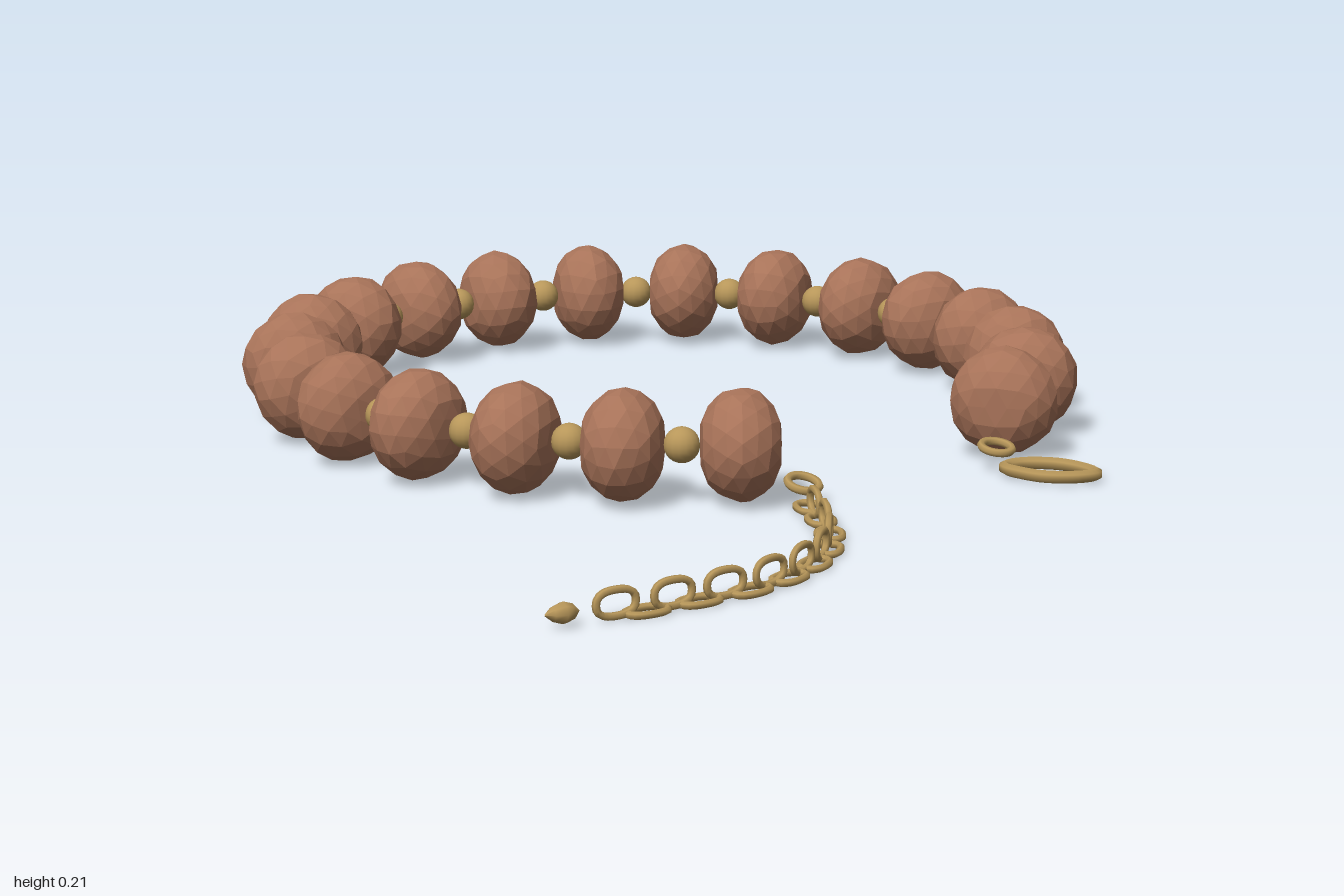
import * as THREE from 'three';

const bead = new THREE.MeshStandardMaterial({ color: 0xa87359 });
bead.name = 'brown bead';
bead.flatShading = true;
const gold = new THREE.MeshStandardMaterial({ color: 0xb8975a });
gold.name = 'gold metal';

// Bead centres around the strand (x, z)
const BEADS = [
  [.473, -.433], [.35, -.593], [.19, -.71], [.003, -.785], [-.195, -.812],
  [-.392, -.797], [-.58, -.72], [-.74, -.6], [-.847, -.428], [-.9, -.235],
  [-.894, -.037], [-.83, .155], [-.718, .32], [-.563, .45], [-.382, .53],
  [-.184, .56], [.013, .535], [.205, .455], [.36, .337], [.478, .171]];
// Centres of the flat chain links (x, z)
const LINKS = [
  [.595, .112], [.675, .15], [.76, .198], [.835, .262], [.895, .337],
  [.938, .422], [.963, .518], [.965, .62], [.964, .72], [.957, .83]];
// Outline of the clasp hook (x, z)
const HOOK = [
  [.582, -.345], [.583, -.385], [.62, -.43], [.67, -.445], [.722, -.437],
  [.722, -.4], [.685, -.35], [.635, -.333], [.6, -.332]];

// Faceted bead: squashed sphere with slightly uneven facets, axis along x
function beadGeometry() {
  const g = new THREE.IcosahedronGeometry(1, 2);
  const p = g.attributes.position;
  const v = new THREE.Vector3();
  for (let i = 0; i < p.count; i++) {
    v.fromBufferAttribute(p, i);
    const wobble = 1 + 0.02 * Math.sin(v.x * 9 + v.y * 13 + v.z * 17);
    // flatten the drilled ends
    const x = Math.max(-0.9, Math.min(0.9, v.x)) / 0.9;
    p.setXYZ(i, x * 0.07, v.y * 0.1 * wobble, v.z * 0.1 * wobble);
  }
  g.computeVertexNormals();
  return g;
}

// Closed tube through a loop of points
function loop(points, radius, segments = 32) {
  const curve = new THREE.CatmullRomCurve3(points, true);
  return new THREE.TubeGeometry(curve, segments, radius, 6, true);
}

// Rounded oblong link lying in the xz plane, long along x
function linkGeometry() {
  const pts = [];
  for (let i = 0; i < 16; i++) {
    const a = i / 16 * Math.PI * 2;
    const c = Math.cos(a), s = Math.sin(a);
    pts.push(new THREE.Vector3(
      Math.sign(c) * Math.abs(c) ** 0.8 * 0.036, 0, Math.sign(s) * Math.abs(s) ** 0.8 * 0.021));
  }
  return loop(pts, 0.0065, 24);
}

export function createModel() {
  const group = new THREE.Group();
  const add = (name, geometry, material, x, y, z, yaw = 0) => {
    const m = new THREE.Mesh(geometry, material);
    m.name = name;
    m.position.set(x, y, z);
    m.rotation.y = yaw;
    group.add(m);
    return m;
  };
  const heading = (a, b) => Math.atan2(a[1] - b[1], b[0] - a[0]);
  const mid = (a, b) => [(a[0] + b[0]) / 2, (a[1] + b[1]) / 2];

  // Strand of beads with a small gold spacer between each pair
  const beadGeo = beadGeometry();
  const spacerGeo = new THREE.SphereGeometry(0.032, 16, 12);
  BEADS.forEach((c, i) => {
    const a = BEADS[Math.max(0, i - 1)];
    const b = BEADS[Math.min(BEADS.length - 1, i + 1)];
    const m = add('bead', beadGeo, bead, c[0], 0.11, c[1], heading(a, b));
    m.rotateX(i * 1.3);
    if (i < BEADS.length - 1) {
      const s = mid(c, b);
      add('spacer', spacerGeo, gold, s[0], 0.11, s[1]);
    }
  });

  // Extension chain: flat links alternating with upright ones
  const linkGeo = linkGeometry();
  for (let i = 0; i < LINKS.length - 1; i++) {
    const c = LINKS[i], b = LINKS[i + 1];
    const a = LINKS[Math.max(0, i - 1)];
    add('flatLink', linkGeo, gold, c[0], 0.013, c[1], heading(a, b));
    const u = i === LINKS.length - 2 ? [.96, .775] : mid(c, b);
    const m = add('uprightLink', linkGeo, gold, u[0], 0.034, u[1], heading(c, b));
    m.rotateX(Math.PI / 2);
  }

  // Pointed drop at the end of the chain
  const drop = new THREE.LatheGeometry(
    [[0.001, -.03], [.013, -.018], [.018, -.002], [.012, .016], [.001, .03]]
      .map(([r, y]) => new THREE.Vector2(r, y)), 8);
  drop.rotateX(Math.PI / 2);
  add('endDrop', drop, gold, 0.948, 0.03, 0.867, -0.1);

  // Connecting rings at both ends of the strand
  const ring = new THREE.TorusGeometry(0.028, 0.0075, 6, 24);
  ring.rotateX(Math.PI / 2);
  add('chainRing', ring, gold, 0.553, 0.045, 0.092).rotateZ(-0.3);
  add('claspRing', ring, gold, 0.549, 0.048, -0.352).rotateZ(-0.2);

  // Clasp hook with its inner gate bar
  add('claspHook', loop(HOOK.map(([x, z]) => new THREE.Vector3(x, 0, z)), 0.0115, 48), gold, 0, 0.02, 0);
  return group;
}
